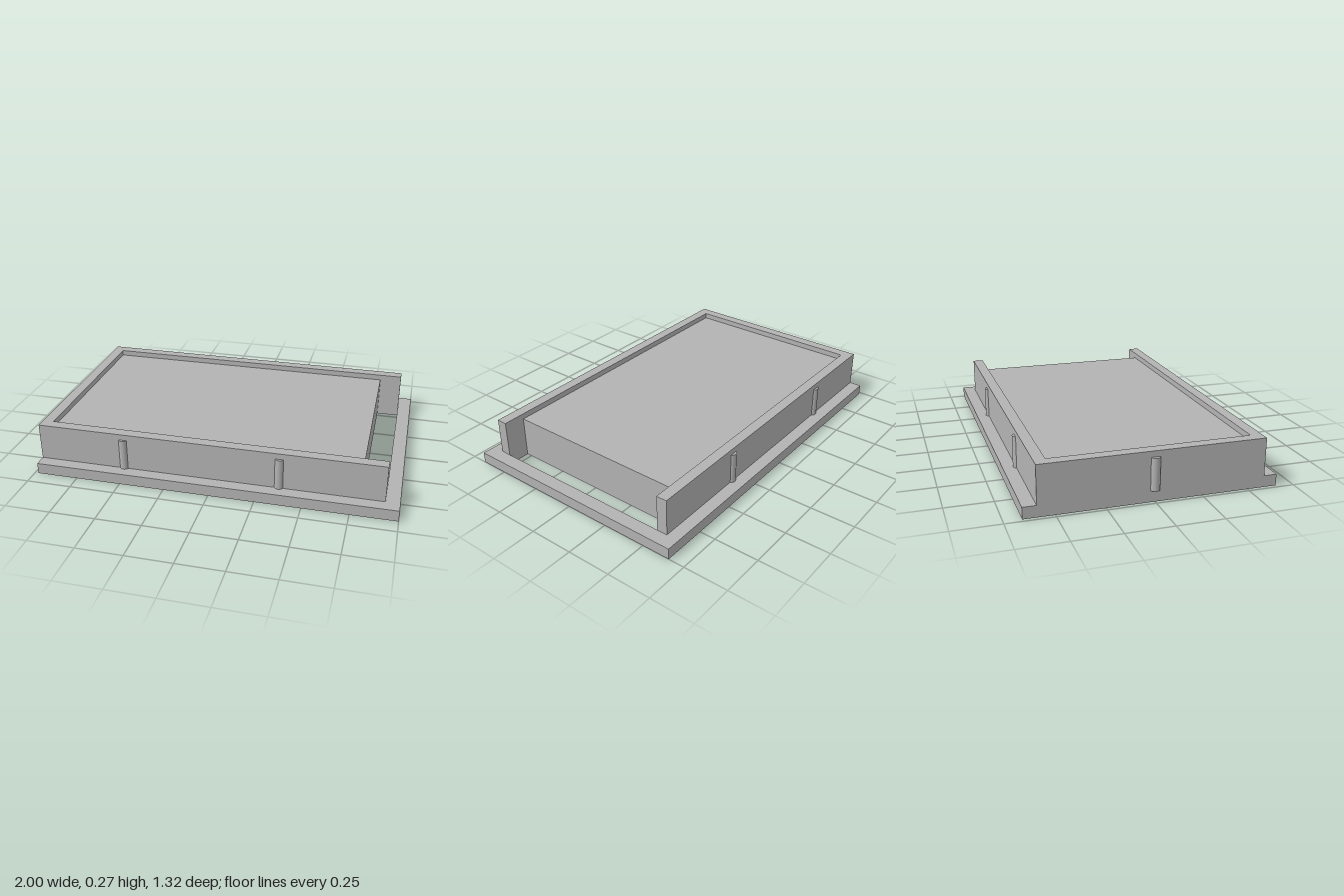
import * as THREE from 'three';

const BASE_TOP = 0.062, CORE_TOP = 0.235, WALL_TOP = 0.267;
const LEFT = -0.98, WALL_END = 0.925;

// Plan outline extruded upward from y0 to y1
function slab(outline, y0, y1, hole) {
  const toPoints = (list) => list.map(([x, z]) => new THREE.Vector2(x, z));
  const shape = new THREE.Shape(toPoints(outline));
  if (hole) shape.holes.push(new THREE.Path(toPoints(hole)));
  const geometry = new THREE.ExtrudeGeometry(shape, { depth: y1 - y0, bevelEnabled: false });
  return geometry.rotateX(-Math.PI / 2).translate(0, y0, 0);
}

const rect = (x0, x1, z) => [[x0, -z], [x1, -z], [x1, z], [x0, z]];

export function createModel() {
  const group = new THREE.Group();
  const grey = new THREE.MeshStandardMaterial({ color: 0xb3b3b3 });
  grey.name = 'plain grey';

  function add(name, geometry) {
    const mesh = new THREE.Mesh(geometry, grey);
    mesh.name = name;
    group.add(mesh);
    return mesh;
  }

  // Flanged base plate with a through slot near the open end
  add('basePlate', slab(rect(LEFT, 1, 0.66), 0, BASE_TOP, rect(0.8, WALL_END, 0.53)));

  // Raised block filling the tray
  add('core', slab(rect(-0.92, 0.8, 0.53), BASE_TOP, CORE_TOP));

  // U-shaped rim, open toward the slot
  add('rimWall', slab([
    [LEFT, -0.59], [WALL_END, -0.59], [WALL_END, -0.53], [-0.92, -0.53],
    [-0.92, 0.53], [WALL_END, 0.53], [WALL_END, 0.59], [LEFT, 0.59],
  ], BASE_TOP, WALL_TOP));

  // Rounded snap ribs partly sunk into the outer walls
  const ribGeometry = new THREE.CylinderGeometry(0.025, 0.025, CORE_TOP - BASE_TOP, 32);
  const ribSpots = [[-0.975, 0]];
  for (const x of [-0.493, 0.368]) for (const side of [-1, 1]) ribSpots.push([x, side * 0.58]);
  for (const [x, z] of ribSpots) {
    add('snapRib', ribGeometry).position.set(x, (BASE_TOP + CORE_TOP) / 2, z);
  }

  return group;
}
